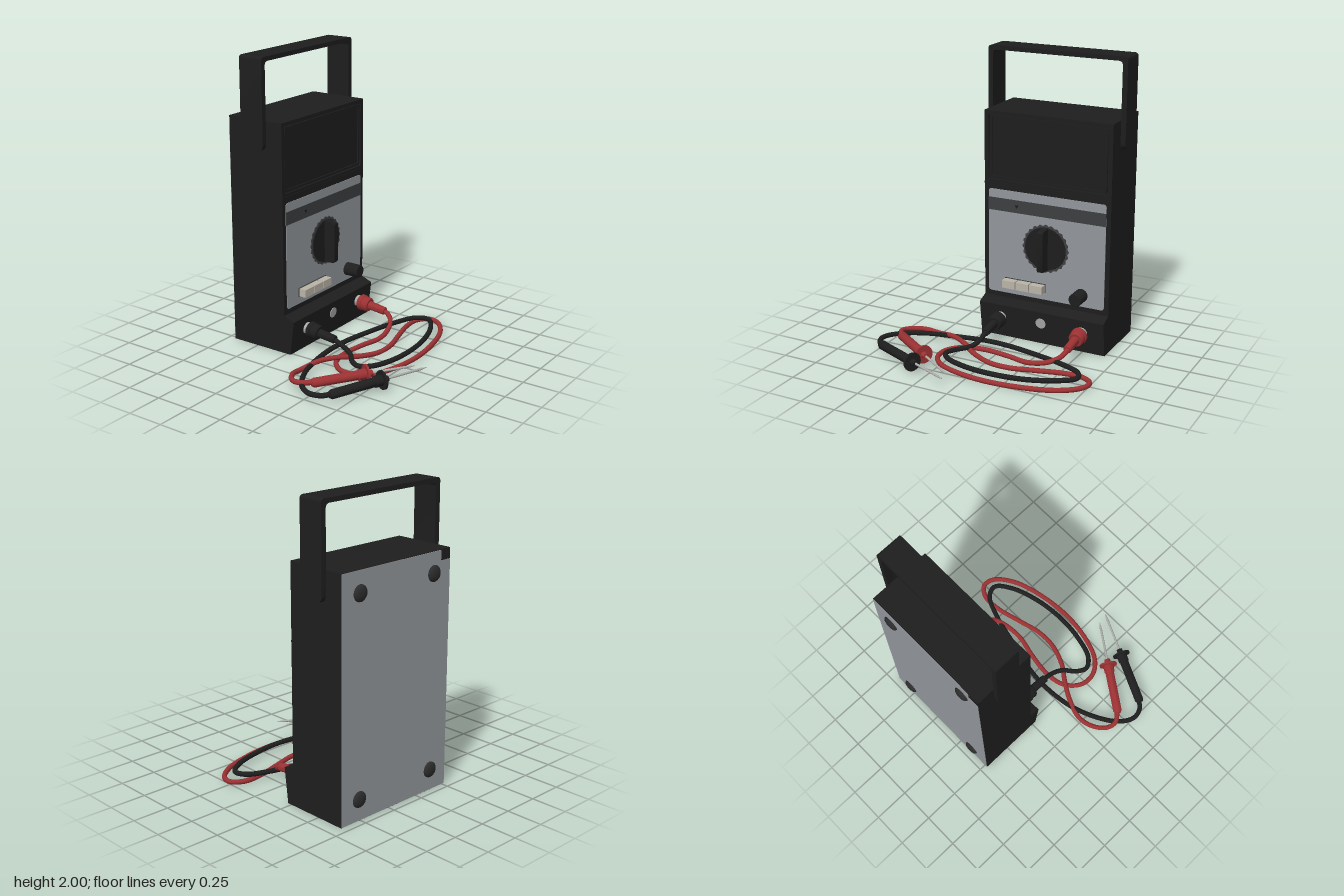
import * as THREE from 'three';
import { toCreasedNormals } from 'three/addons/utils/BufferGeometryUtils.js';

const mat = (name, color) => {
  const m = new THREE.MeshStandardMaterial({ color });
  m.name = name;
  return m;
};
const M = {
  black: mat('blackPlastic', 0x1e1e1e),
  rubber: mat('screwRubber', 0x2c2c2c),
  grey: mat('greyPlate', 0x92979b),
  band: mat('darkGreyBand', 0x3c3e3f),
  red: mat('redInsulation', 0x9c3133),
  cream: mat('creamButton', 0xbab4a7),
  steel: mat('steel', 0xaaaaa8),
};
const CX = 0.195, LEFT = 0.66, RIGHT = -0.27;
const V = (x, y, z) => new THREE.Vector3(x, y, z);

function createModel() {
  const root = new THREE.Group();
  root.name = 'multimeter';

  const add = (name, geo, material, x = 0, y = 0, z = 0, parent = root) => {
    const mesh = new THREE.Mesh(geo, material);
    mesh.name = name;
    mesh.position.set(x, y, z);
    parent.add(mesh);
    return mesh;
  };
  const box = (name, w, h, d, material, x, y, z) =>
    add(name, new THREE.BoxGeometry(w, h, d), material, x, y, z);
  const extrude = (shape, depth) =>
    toCreasedNormals(new THREE.ExtrudeGeometry(shape, { depth, bevelEnabled: false, curveSegments: 8 }), 0.6);
  // Side profile in (z, y), swept from x0 towards -x
  const sideSweep = (shape, width) => extrude(shape, width).rotateY(-Math.PI / 2);
  const polygon = pts => new THREE.Shape(pts.map(p => new THREE.Vector2(...p)));
  const roundRect = (x0, y0, x1, y1, r, Type = THREE.Shape) => {
    const s = new Type();
    s.moveTo(x0 + r, y0);
    s.lineTo(x1 - r, y0); s.absarc(x1 - r, y0 + r, r, -Math.PI / 2, 0);
    s.lineTo(x1, y1 - r); s.absarc(x1 - r, y1 - r, r, 0, Math.PI / 2);
    s.lineTo(x0 + r, y1); s.absarc(x0 + r, y1 - r, r, Math.PI / 2, Math.PI);
    s.lineTo(x0, y0 + r); s.absarc(x0 + r, y0 + r, r, Math.PI, Math.PI * 1.5);
    return s;
  };
  // Turned part: profile of [radius, distance] along an axis
  const turned = (name, profile, material, origin, dir, parent = root) => {
    const pts = profile.map(p => new THREE.Vector2(...p));
    const geo = toCreasedNormals(new THREE.LatheGeometry(pts, 24), 0.6);
    const mesh = add(name, geo, material, origin.x, origin.y, origin.z, parent);
    mesh.quaternion.setFromUnitVectors(V(0, 1, 0), dir.clone().normalize());
    return mesh;
  };

  // Case with the protruding socket ledge at the bottom
  add('case', sideSweep(polygon([
    [-0.7, 0], [-0.22, 0], [-0.19, 0.238], [-0.272, 0.27], [-0.285, 0.27], [-0.285, 1.585], [-0.7, 1.585],
  ]), LEFT - RIGHT), M.black, LEFT);

  // Front frame with the recessed display opening
  const frame = polygon([[RIGHT, 0.265], [LEFT, 0.265], [LEFT, 1.585], [RIGHT, 1.585]]);
  frame.holes.push(roundRect(-0.24, 1.11, 0.63, 1.56, 0.008, THREE.Path));
  add('frontFrame', extrude(frame, 0.015), M.black, 0, 0, -0.285);
  const bezel = roundRect(-0.232, 1.118, 0.622, 1.552, 0.006);
  bezel.holes.push(roundRect(-0.218, 1.132, 0.608, 1.538, 0.006, THREE.Path));
  add('displayBezel', extrude(bezel, 0.01), M.black, 0, 0, -0.285);
  box('ridge', 0.93, 0.012, 0.004, M.black, CX, 1.085, -0.269);

  // Control panel and its painted band
  add('controlPanel', extrude(roundRect(-0.238, 0.305, 0.628, 1.045, 0.02), 0.004), M.grey, 0, 0, -0.27);
  box('panelBand', 0.866, 0.09, 0.002, M.band, CX, 0.94, -0.2655);
  add('bandMark', extrude(polygon([[-0.04, 0.95], [-0.025, 0.925], [-0.01, 0.95]]), 0.001), M.black, 0, 0, -0.2645);

  // Selector: scalloped dial, round cap and tapered grip
  const rim = [];
  for (let i = 0; i < 144; i++) {
    const a = i / 144 * Math.PI * 2, r = 0.166 + 0.005 * Math.cos(a * 24);
    rim.push([r * Math.cos(a), r * Math.sin(a)]);
  }
  add('dialRim', extrude(polygon(rim), 0.008), M.band, CX, 0.675, -0.268);
  turned('dialCap', [[0, 0], [0.153, 0], [0.15, 0.012], [0, 0.012]], M.black, V(CX, 0.675, -0.266), V(0, 0, 1));
  add('dialGrip', sideSweep(polygon([
    [-0.265, 0.522], [-0.18, 0.532], [-0.173, 0.545], [-0.173, 0.808], [-0.18, 0.816], [-0.265, 0.826],
  ]), 0.042), M.black, CX + 0.021);

  // Push buttons with a dark surround, and the adjusting knob
  box('buttonSurround', 0.312, 0.064, 0.004, M.band, 0.043, 0.387, -0.265);
  for (let i = 0; i < 3; i++) {
    box('button', 0.096, 0.054, 0.06, M.cream, -0.06 + i * 0.103, 0.387, -0.24);
  }
  turned('adjustKnob', [[0, 0], [0.046, 0], [0.046, 0.105], [0.042, 0.111], [0, 0.111]],
    M.black, V(0.463, 0.387, -0.266), V(0, 0, 1));

  // Test leads
  const out = V(0, -0.125, 0.992);
  turned('ledgeScrew', [[0, 0], [0.037, 0], [0.037, 0.006], [0, 0.006]], M.steel, V(CX, 0.155, -0.2015), out);

  const plugProfile = [[0, 0.022], [0.044, 0.022], [0.044, 0.036], [0.057, 0.036], [0.057, 0.058], [0.052, 0.062],
    [0.052, 0.1], [0.046, 0.11], [0.03, 0.11], [0.028, 0.235], [0.024, 0.24], [0, 0.24]];
  const makeLead = (name, material, socketX, path, back, guard) => {
    const lead = new THREE.Group();
    lead.name = name;
    root.add(lead);
    const socket = V(socketX, 0.147, -0.203);
    turned('socketRing', [[0, 0], [0.04, 0], [0.04, 0.03], [0, 0.03]], M.steel, socket, out, lead);
    turned('plug', plugProfile, material, socket, out, lead);
    const curve = new THREE.CatmullRomCurve3(path.map(p => V(...p)), false, 'centripetal');
    add('cable', new THREE.TubeGeometry(curve, 200, 0.017, 10), material, 0, 0, 0, lead);
    // Probe handle, finger guard and needle
    const dir = guard.clone().sub(back), L = dir.length();
    turned('probeHandle', [[0, -0.005], [0.022, -0.005], [0.031, 0.01], [0.031, L - 0.06], [0.037, L - 0.055],
      [0.037, L - 0.007], [0.063, L - 0.007], [0.063, L + 0.007], [0.024, L + 0.007], [0.02, L + 0.042],
      [0, L + 0.042]], material, back, dir, lead);
    turned('needle', [[0, 0], [0.008, 0], [0.008, L + 0.29], [0.002, L + 0.335], [0, L + 0.335]],
      M.steel, back, dir, lead);
  };

  makeLead('redLead', M.red, 0.5, [
    [0.5, 0.12, 0.01], [0.5, 0.108, 0.05], [0.475, 0.08, 0.095], [0.4, 0.045, 0.13], [0.27, 0.022, 0.145],
    [0.1, 0.02, 0.11], [-0.08, 0.02, 0.09], [-0.22, 0.02, 0.12], [-0.31, 0.02, 0.22], [-0.31, 0.02, 0.33],
    [-0.24, 0.02, 0.42], [-0.1, 0.02, 0.48], [0.13, 0.02, 0.515], [0.4, 0.02, 0.49], [0.62, 0.02, 0.42],
    [0.74, 0.022, 0.32], [0.752, 0.022, 0.24], [0.68, 0.022, 0.185], [0.55, 0.022, 0.185], [0.35, 0.022, 0.235],
    [0.2, 0.022, 0.273], [0.05, 0.025, 0.27], [-0.1, 0.04, 0.215], [-0.22, 0.055, 0.13], [-0.33, 0.055, 0.065],
    [-0.47, 0.035, 0.02], [-0.58, 0.05, 0.035], [-0.67, 0.06, 0.1], [-0.69, 0.07, 0.17], [-0.64, 0.072, 0.245],
  ], V(-0.648, 0.07, 0.24), V(-0.35, 0.073, 0.445));

  makeLead('blackLead', M.black, -0.11, [
    [-0.11, 0.12, 0.01], [-0.11, 0.108, 0.05], [-0.115, 0.085, 0.11], [-0.145, 0.065, 0.18], [-0.22, 0.055, 0.25],
    [-0.252, 0.055, 0.32], [-0.2, 0.055, 0.39], [-0.05, 0.05, 0.44], [0.15, 0.05, 0.46], [0.38, 0.05, 0.435],
    [0.58, 0.055, 0.365], [0.68, 0.056, 0.28], [0.65, 0.056, 0.2], [0.5, 0.056, 0.13], [0.22, 0.056, 0.06],
    [0.05, 0.05, 0.02], [-0.12, 0.045, 0.005], [-0.35, 0.04, 0.03], [-0.55, 0.05, 0.1], [-0.7, 0.055, 0.2],
    [-0.757, 0.058, 0.3], [-0.735, 0.058, 0.38], [-0.68, 0.06, 0.42],
  ], V(-0.7, 0.06, 0.415), V(-0.36, 0.069, 0.572));

  // Carrying handle: bridge plus two rounded arms
  const z0 = -0.575, z1 = -0.395, ySplit = 1.5, t = 0.035;
  const bridge = new THREE.Shape();
  bridge.moveTo(RIGHT - t, ySplit);
  bridge.lineTo(RIGHT, ySplit);
  bridge.lineTo(RIGHT, 1.94);
  bridge.quadraticCurveTo(RIGHT, 1.97, RIGHT + 0.03, 1.97);
  bridge.lineTo(LEFT - 0.03, 1.97);
  bridge.quadraticCurveTo(LEFT, 1.97, LEFT, 1.94);
  bridge.lineTo(LEFT, ySplit);
  bridge.lineTo(LEFT + t, ySplit);
  bridge.lineTo(LEFT + t, 1.975);
  bridge.quadraticCurveTo(LEFT + t, 2, LEFT + t - 0.025, 2);
  bridge.lineTo(RIGHT - t + 0.025, 2);
  bridge.quadraticCurveTo(RIGHT - t, 2, RIGHT - t, 1.975);
  add('handleBridge', extrude(bridge, z1 - z0), M.black, 0, 0, z0);
  const arm = new THREE.Shape();
  arm.moveTo(z0, ySplit);
  arm.lineTo(z0, 1.435);
  arm.quadraticCurveTo(z0, 1.385, z0 + 0.06, 1.385);
  arm.lineTo(z1 - 0.06, 1.385);
  arm.quadraticCurveTo(z1, 1.385, z1, 1.435);
  arm.lineTo(z1, ySplit);
  for (const x of [RIGHT, LEFT + t]) add('handleArm', sideSweep(arm, t), M.black, x);

  // Back plate with a clipped corner and four domed feet
  add('backPlate', extrude(polygon([
    [RIGHT + 0.003, 0.003], [LEFT - 0.003, 0.003], [LEFT - 0.003, 1.582], [-0.185, 1.582],
    [-0.185, 1.515], [RIGHT + 0.003, 1.515],
  ]), 0.006), M.grey, 0, 0, -0.704);
  for (const x of [-0.122, 0.512]) for (const y of [0.145, 1.445]) {
    turned('backFoot', [[0, 0], [0.054, 0], [0.052, 0.01], [0.042, 0.02], [0.025, 0.025], [0, 0.027]],
      M.rubber, V(x, y, -0.701), V(0, 0, -1));
  }
  return root;
}

export { createModel };
